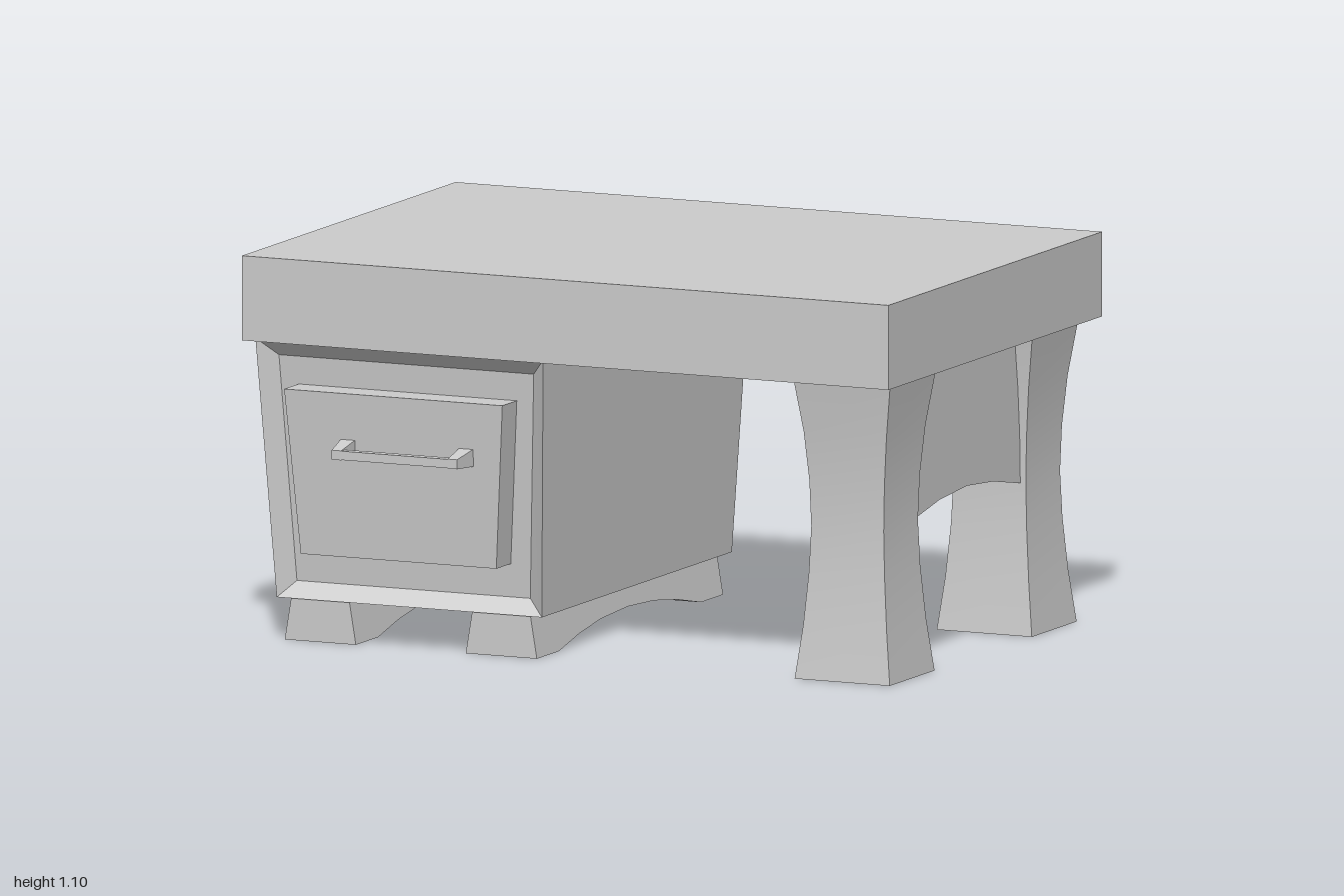
import * as THREE from 'three';
import { toCreasedNormals } from 'three/addons/utils/BufferGeometryUtils.js';

const material = new THREE.MeshStandardMaterial({ color: 0xcccccc });

// Skins a list of four-cornered rings (counterclockwise seen against the direction of travel) and caps both ends.
function loft(name, rings) {
  const pos = [];
  const quad = (a, b, c, d) => pos.push(...a, ...b, ...c, ...a, ...c, ...d);
  for (let r = 0; r < rings.length - 1; r++) {
    for (let i = 0; i < 4; i++) {
      const j = (i + 1) % 4;
      quad(rings[r][i], rings[r][j], rings[r + 1][j], rings[r + 1][i]);
    }
  }
  const [a, b, c, d] = rings[0];
  quad(d, c, b, a);
  quad(...rings[rings.length - 1]);
  const geo = new THREE.BufferGeometry();
  geo.setAttribute('position', new THREE.Float32BufferAttribute(pos, 3));
  const mesh = new THREE.Mesh(toCreasedNormals(geo, 0.5), material);
  mesh.name = name;
  return mesh;
}

// Upright trapezoid ring facing +z: bottom [x0, x1, y, z], top [x0, x1, y, z]
const ring = ([a, b, y, z], [c, d, Y, Z]) => [[a, y, z], [b, y, z], [d, Y, Z], [c, Y, z === Z ? z : Z]];

function box(name, x0, x1, y0, y1, z0, z1) {
  const mesh = new THREE.Mesh(new THREE.BoxGeometry(x1 - x0, y1 - y0, z1 - z0), material);
  mesh.position.set((x0 + x1) / 2, (y0 + y1) / 2, (z0 + z1) / 2);
  mesh.name = name;
  return mesh;
}

// Square leg with a waisted outline
function leg(name, x, z) {
  const outline = [[0, 0.147], [0.15, 0.129], [0.3, 0.117], [0.43, 0.112], [0.56, 0.116], [0.7, 0.128], [0.86, 0.151]];
  return loft(name, outline.map(([y, h]) =>
    [[x + h, y, z + h], [x + h, y, z - h], [x - h, y, z - h], [x - h, y, z + h]]));
}

// Foot rail with an arched underside and sides that splay towards the floor
function footRail(name, x) {
  const underside = [[-0.655, 0], [-0.51, 0], [-0.37, 0.028], [-0.22, 0.048], [-0.05, 0.056],
    [0.13, 0.048], [0.28, 0.028], [0.42, 0], [0.565, 0]];
  const half = (y) => 0.11 - 0.02 * y / 0.12;
  return loft(name, underside.map(([z, y]) =>
    ring([x - half(y), x + half(y), y, z], [x - half(0.125), x + half(0.125), 0.125, z])));
}

export function createModel() {
  const desk = new THREE.Group();
  desk.name = 'desk';
  desk.add(box('tabletop', -1, 1, 0.855, 1.095, -0.745, 0.655));

  // Tapered cabinet: back, front rim, then the bevelled recess
  desk.add(loft('cabinet', [
    ring([-0.93, -0.11, 0.12, -0.67], [-0.97, -0.08, 0.86, -0.72]),
    ring([-0.93, -0.11, 0.12, 0.575], [-0.97, -0.08, 0.86, 0.63]),
    ring([-0.885, -0.163, 0.165, 0.538], [-0.918, -0.13, 0.81, 0.586]),
  ]));

  // Drawer front with its handle
  const drawer = new THREE.Group();
  drawer.name = 'drawer';
  drawer.add(loft('drawerFront', [
    ring([-0.825, -0.22, 0.26, 0.53], [-0.86, -0.185, 0.73, 0.565]),
    ring([-0.825, -0.22, 0.26, 0.64], [-0.86, -0.185, 0.73, 0.675]),
  ]));
  for (const side of [-1, 1]) {
    const post = (outer, inner, y0, y1, z) => {
      const xs = [-0.485 + side * outer, -0.485 + side * inner].sort((a, b) => a - b);
      return ring([...xs, y0, z], [...xs, y1, z]);
    };
    drawer.add(loft('handlePost', [
      post(0.207, 0.16, 0.548, 0.602, 0.645),
      post(0.194, 0.165, 0.553, 0.58, 0.747),
    ]));
  }
  drawer.add(box('handleBar', -0.67, -0.3, 0.554, 0.579, 0.718, 0.746));
  desk.add(drawer);

  desk.add(footRail('outerFootRail', -0.8), footRail('innerFootRail', -0.24));
  desk.add(leg('frontLeg', 0.815, 0.419), leg('backLeg', 0.815, -0.512));

  // Arched apron joining the two legs
  const arch = [[-0.5, 0.405], [-0.4, 0.427], [-0.22, 0.459], [-0.05, 0.472], [0.13, 0.459], [0.305, 0.427], [0.41, 0.405]];
  desk.add(loft('apron', arch.map(([z, y]) => ring([0.72, 0.91, y, z], [0.72, 0.91, 0.86, z]))));
  return desk;
}
